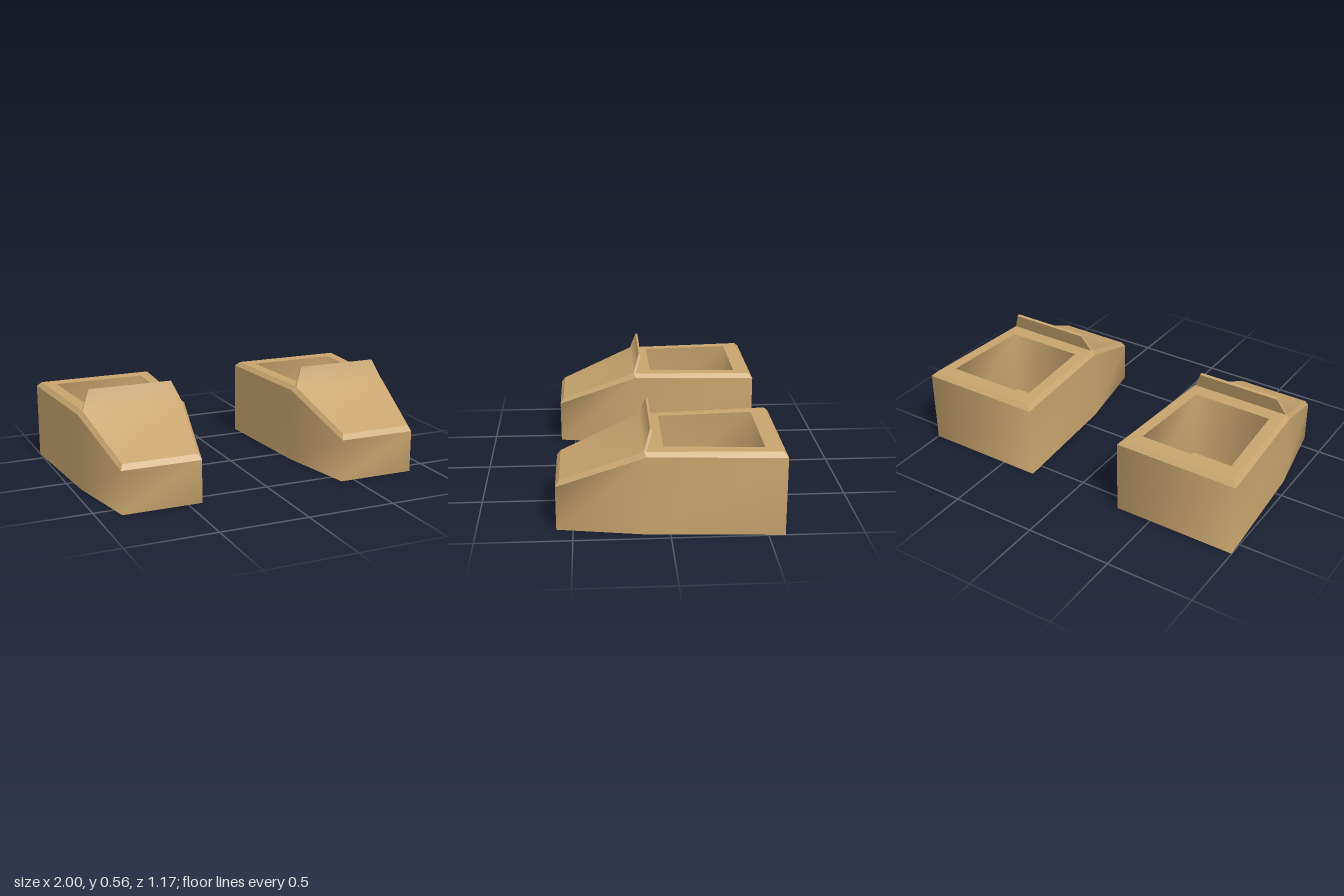
import * as THREE from 'three';

const material = new THREE.MeshStandardMaterial({ color: 0xc8a46e });

// Skin between successive rows of points; smooth shares normals along it
function strip(rows, closed, smooth) {
  const n = rows[0].length, index = [];
  for (let r = 0; r < rows.length - 1; r++) {
    for (let i = 0; i < (closed ? n : n - 1); i++) {
      const j = (i + 1) % n, a = r * n + i, b = r * n + j;
      index.push(a, b, b + n, a, b + n, a + n);
    }
  }
  return finish(rows.flat(), index, smooth);
}

// Flat convex polygon
function cap(points) {
  const index = [];
  for (let i = 1; i < points.length - 1; i++) index.push(0, i, i + 1);
  return finish(points, index, false);
}

function finish(points, index, smooth) {
  let g = new THREE.BufferGeometry();
  g.setAttribute('position', new THREE.Float32BufferAttribute(points.flat(), 3));
  g.setIndex(index);
  if (!smooth) g = g.toNonIndexed();
  g.computeVertexNormals();
  return g;
}

// Symmetric ring from its [halfWidth, y, z] stations, front to back
function ring(stations) {
  const left = [...stations];
  const right = [...stations].reverse().map(([x, y, z]) => [-x, y, z]);
  return [...left, ...right];
}

// Row across the shoe, right to left
const across = (x, y, z) => [[-x, y, z], [x, y, z]];

function createShoe() {
  const shoe = new THREE.Group();
  const add = (name, geometry) => {
    const mesh = new THREE.Mesh(geometry, material);
    mesh.name = name;
    shoe.add(mesh);
  };

  const sole = ring([[0.223, 0, 0.587], [0.308, 0, 0.12], [0.355, 0, -0.587]]);
  const wallTop = ring([[0.223, 0.24, 0.587], [0.308, 0.425, 0.12], [0.355, 0.425, -0.587]]);
  const rim = ring([[0.21, 0.27, 0.567], [0.285, 0.447, 0.135], [0.33, 0.45, -0.563]]);
  const opening = ring([[0.228, 0.45, 0.033], [0.262, 0.45, -0.48]]);
  const floor = opening.map(([x, , z]) => [x, 0.05, z]);

  // Body
  add('sole', cap([...sole].reverse()));
  add('outerWall', strip([sole, wallTop], true, true));
  add('bevel', strip([wallTop, rim], true, false));
  add('collar', strip([rim.slice(1, 5), opening], true, false));

  // Foot opening
  add('innerWall', strip([opening, floor], true, true));
  add('insole', cap(floor));

  // Sloping toe panel running up into the raised tongue
  const baseFront = across(0.285, 0.447, 0.135), tipFront = across(0.238, 0.555, 0.101);
  const tipBack = across(0.238, 0.548, 0.088), baseBack = across(0.285, 0.447, 0.122);
  add('toePanel', strip([across(0.21, 0.27, 0.567), baseFront, tipFront], false, true));
  add('tongueBack', strip([tipFront, tipBack, baseBack], false, false));
  add('tongueLeftEdge', cap([baseFront[1], baseBack[1], tipBack[1], tipFront[1]]));
  add('tongueRightEdge', cap([baseFront[0], tipFront[0], tipBack[0], baseBack[0]]));
  return shoe;
}

export function createModel() {
  const model = new THREE.Group();
  model.name = 'pairOfShoes';
  for (const side of [1, -1]) {
    const shoe = createShoe();
    shoe.name = side > 0 ? 'leftShoe' : 'rightShoe';
    shoe.position.x = side * 0.645;
    model.add(shoe);
  }
  return model;
}
